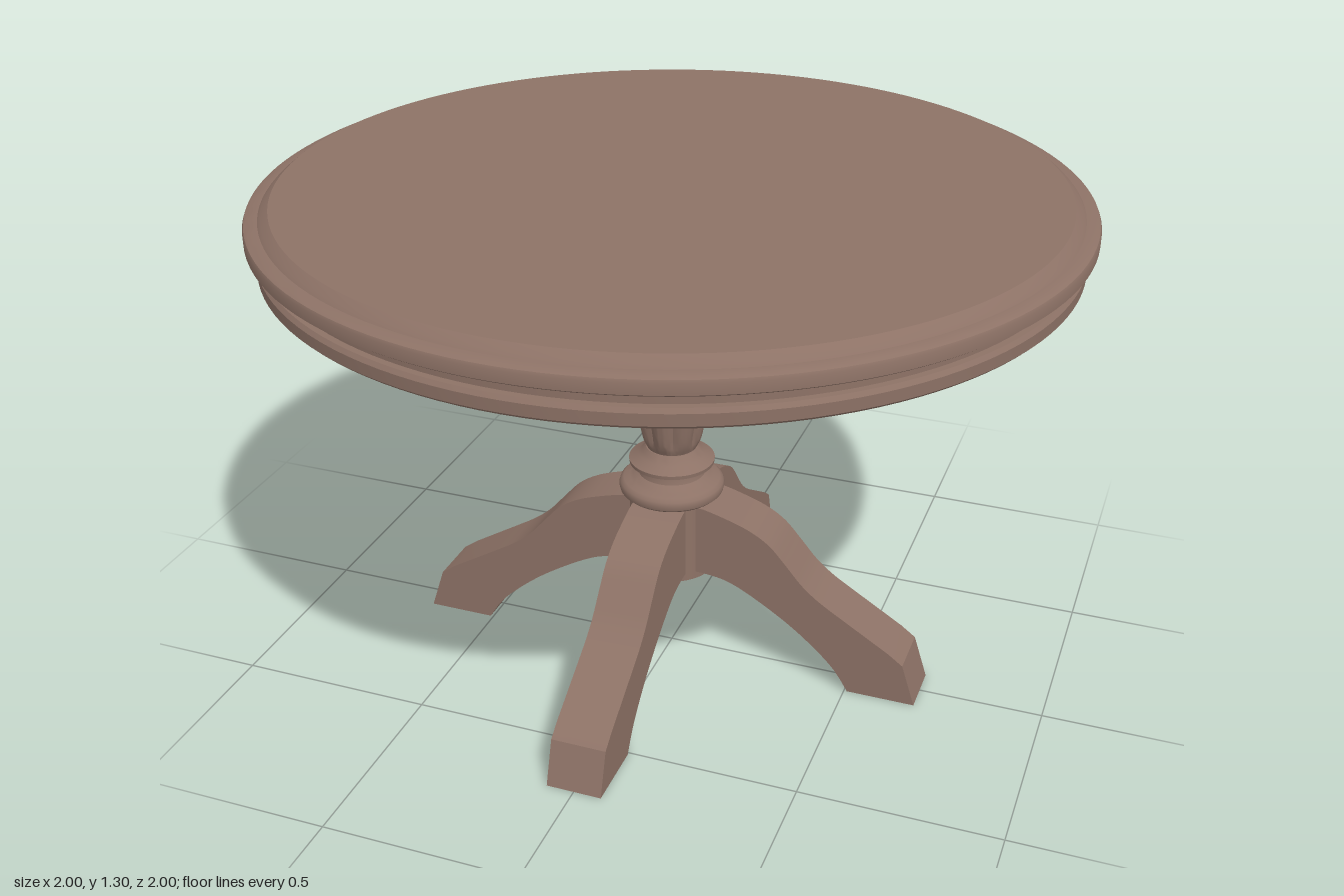
import * as THREE from 'three';
import { toCreasedNormals } from 'three/addons/utils/BufferGeometryUtils.js';

const wood = new THREE.MeshStandardMaterial({ color: 0x8d7266 });
wood.name = 'brownWood';

const vectors = (pairs) => pairs.map(([x, y]) => new THREE.Vector2(x, y));

function addMesh(parent, name, geometry) {
  const mesh = new THREE.Mesh(geometry, wood);
  mesh.name = name;
  parent.add(mesh);
  return mesh;
}

// Turned part: profile given as [radius, height] from bottom to top
function turned(parent, name, profile, segments) {
  const geometry = new THREE.LatheGeometry(vectors(profile), segments);
  return addMesh(parent, name, toCreasedNormals(geometry, 0.6));
}

// Bulb with eight rounded lobes meeting in sharp grooves
function flutedBulb() {
  const spline = new THREE.SplineCurve(vectors([
    [0.062, 0.595], [0.078, 0.63], [0.09, 0.69], [0.102, 0.77],
    [0.109, 0.84], [0.107, 0.875], [0.085, 0.893],
  ]));
  const geometry = new THREE.LatheGeometry(spline.getPoints(24), 96, Math.PI / 8);
  const p = geometry.attributes.position;
  for (let i = 0; i < p.count; i++) {
    const x = p.getX(i), z = p.getZ(i), y = p.getY(i);
    const fade = THREE.MathUtils.smoothstep(y, 0.595, 0.64);
    const lobe = Math.abs(Math.cos(4 * Math.atan2(x, z)));
    const k = 1 - 0.13 * fade * (1 - lobe);
    p.setXYZ(i, x * k, y, z * k);
  }
  return toCreasedNormals(geometry, 0.5);
}

// Curved leg, cut from a plank and reaching out along +x
function legGeometry() {
  const shape = new THREE.Shape();
  shape.moveTo(0.04, 0.275);
  shape.lineTo(0.04, 0.468);
  shape.lineTo(0.11, 0.465);
  shape.splineThru(vectors([[0.16, 0.452], [0.23, 0.428], [0.285, 0.395], [0.33, 0.347], [0.375, 0.295], [0.42, 0.257], [0.47, 0.225]]));
  shape.lineTo(0.61, 0.14);
  shape.lineTo(0.648, 0.112);
  shape.lineTo(0.684, 0);
  shape.lineTo(0.508, 0);
  shape.splineThru(vectors([[0.46, 0.07], [0.364, 0.155], [0.257, 0.225], [0.177, 0.264], [0.11, 0.275]]));
  shape.closePath();
  const geometry = new THREE.ExtrudeGeometry(shape, { depth: 0.14, bevelEnabled: false, curveSegments: 4 });
  geometry.translate(0, 0, -0.07);
  return toCreasedNormals(geometry, 0.4);
}

export function createModel() {
  const table = new THREE.Group();
  table.name = 'pedestalTable';

  // Round top with stepped, moulded rim
  turned(table, 'tableTop', [
    [0, 1.235], [0.993, 1.235], [1, 1.24], [1, 1.265], [0.997, 1.272], [0.99, 1.276],
    [0.965, 1.278], [0.958, 1.286], [0.94, 1.3], [0, 1.3],
  ], 128);
  turned(table, 'topRecess', [[0.955, 1.195], [0.955, 1.236]], 128);
  turned(table, 'apron', [
    [0, 1.155], [0.97, 1.155], [0.977, 1.162], [0.978, 1.19], [0.971, 1.2], [0.95, 1.2],
  ], 128);

  // Turned column
  turned(table, 'columnShaft', [
    [0.08, 0.885], [0.096, 0.888], [0.1, 0.894], [0.096, 0.9], [0.106, 0.903], [0.107, 0.908],
    [0.102, 0.913], [0.098, 0.918], [0.098, 0.925], [0.088, 0.935], [0.088, 1.157],
  ], 48);
  addMesh(table, 'flutedBulb', flutedBulb());
  turned(table, 'columnRings', [
    [0.11, 0.468], [0.125, 0.47], [0.133, 0.477], [0.136, 0.489], [0.133, 0.5], [0.124, 0.508],
    [0.108, 0.511], [0.1, 0.516], [0.086, 0.525], [0.082, 0.54], [0.082, 0.552], [0.109, 0.554], [0.11, 0.564],
    [0.085, 0.578], [0.075, 0.588], [0.067, 0.598], [0, 0.6],
  ], 48);

  // Hub that carries the legs
  turned(table, 'legHub', [[0, 0.255], [0.114, 0.255], [0.114, 0.47], [0, 0.47]], 48);

  // Four legs in a cross
  const leg = legGeometry();
  for (let i = 0; i < 4; i++) {
    addMesh(table, 'leg' + (i + 1), leg).rotation.y = (i * Math.PI) / 2;
  }
  return table;
}
